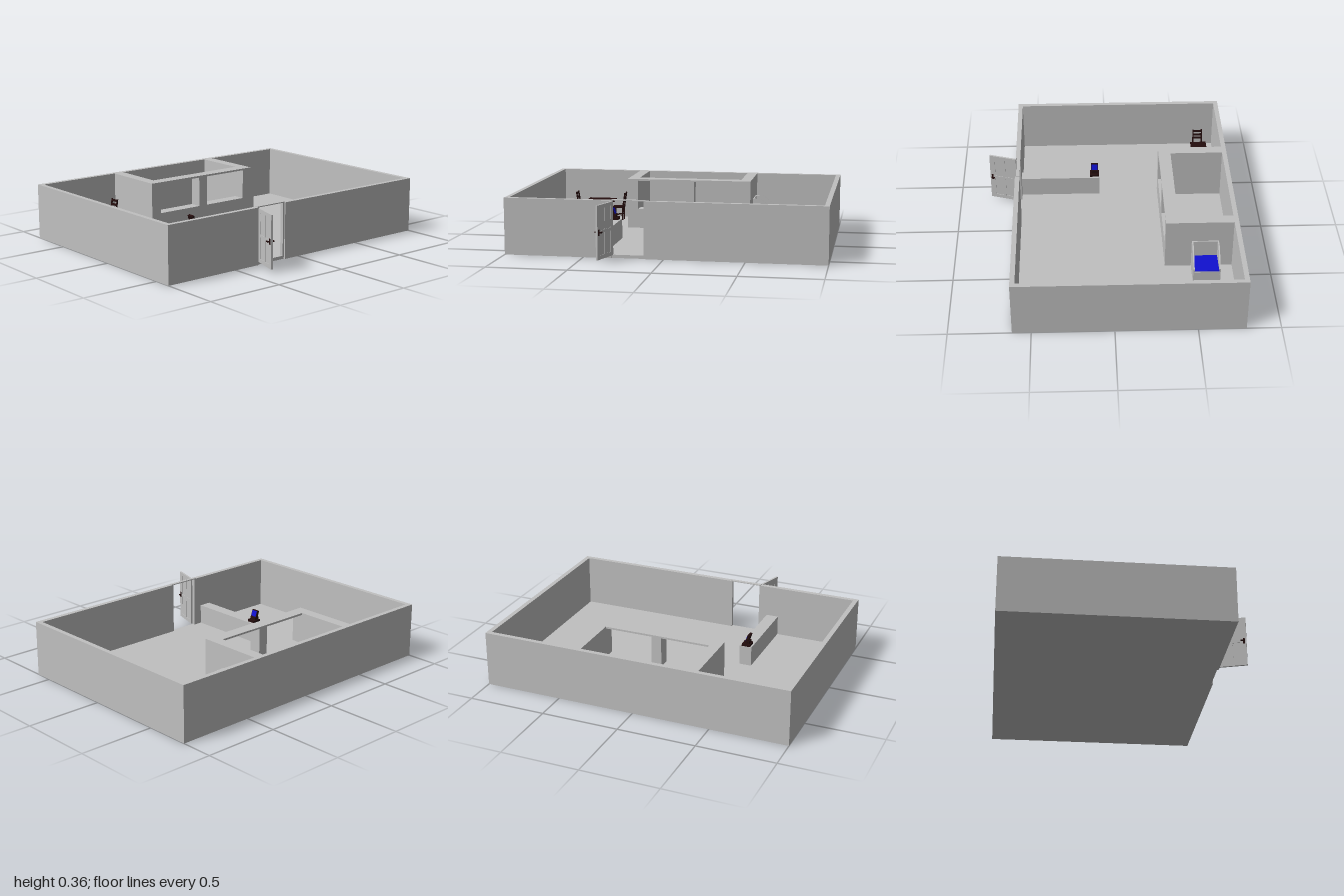
import * as THREE from 'three';

const mat = (name, color, side = THREE.FrontSide) => {
  const m = new THREE.MeshStandardMaterial({ color, side });
  m.name = name;
  return m;
};

export function createModel() {
  const grey = mat('plaster grey', 0xc0c0c0);
  const wood = mat('dark wood', 0x240d0d);
  const blue = mat('blue', 0x1010d0);
  const root = new THREE.Group();
  root.name = 'diningRoom';

  const group = (name, parent = root) => {
    const g = new THREE.Group();
    g.name = name;
    parent.add(g);
    return g;
  };
  // Box given by its two extremes on each axis
  const box = (parent, name, material, [x0, x1], [y0, y1], [z0, z1]) => {
    const mesh = new THREE.Mesh(new THREE.BoxGeometry(x1 - x0, y1 - y0, z1 - z0), material);
    mesh.position.set((x0 + x1) / 2, (y0 + y1) / 2, (z0 + z1) / 2);
    mesh.name = name;
    parent.add(mesh);
    return mesh;
  };
  const rect = (P, x0, x1, y0, y1) => {
    const p = new P();
    p.moveTo(x0, y0);
    p.lineTo(x1, y0);
    p.lineTo(x1, y1);
    p.lineTo(x0, y1);
    p.closePath();
    return p;
  };

  // Floor and outer walls
  const H = 0.357, F = 0.02, zB = -0.79, zF = 0.615;
  box(root, 'floor', grey, [-0.975, 0.975], [0, F], [zB + 0.01, 0.605]);
  box(root, 'backWall', grey, [-0.97, 1], [0, H], [zB, zB + 0.03]);
  box(root, 'leftWall', grey, [0.97, 1], [0, H], [zB + 0.03, zF - 0.03]);
  box(root, 'rightWall', grey, [-1, -0.97], [0, H], [zB, zF - 0.03]);
  box(root, 'frontWallRight', grey, [-1, -0.325], [0, H], [zF - 0.03, zF]);
  box(root, 'frontWallLeft', grey, [-0.11, 1], [0, H], [zF - 0.03, zF]);

  // Door frame in the opening
  const frame = group('doorFrame');
  box(frame, 'jamb', grey, [-0.325, -0.317], [F, 0.36], [0.585, 0.608]);
  box(frame, 'jamb', grey, [-0.122, -0.11], [F, 0.36], [0.585, 0.608]);
  box(frame, 'lintel', grey, [-0.325, -0.11], [0.355, 0.361], [0.585, 0.608]);

  // Open door with four recessed panels, built along +x and then swung outward
  const door = group('door');
  const leaf = rect(THREE.Shape, 0, 0.185, F, 0.352);
  for (const [x0, x1] of [[0.025, 0.078], [0.097, 0.15]]) {
    for (const [y0, y1] of [[0.045, 0.178], [0.195, 0.33]]) {
      leaf.holes.push(rect(THREE.Path, x0, x1, y0, y1));
      box(door, 'doorPanel', grey, [x0, x1], [y0, y1], [-0.003, 0.003]);
    }
  }
  const leafGeo = new THREE.ExtrudeGeometry(leaf, { depth: 0.012, bevelEnabled: false });
  leafGeo.translate(0, 0, -0.006);
  const leafMesh = new THREE.Mesh(leafGeo, grey);
  leafMesh.name = 'doorLeaf';
  door.add(leafMesh);
  for (const s of [-1, 1]) {
    const side = (a, b) => (s > 0 ? [a, b] : [-b, -a]);
    box(door, 'handlePlate', wood, [0.163, 0.175], [0.168, 0.205], side(0.006, 0.009));
    box(door, 'handleStem', wood, [0.166, 0.172], [0.184, 0.19], side(0.009, 0.019));
    box(door, 'handleLever', wood, [0.15, 0.173], [0.183, 0.191], side(0.017, 0.022));
  }
  door.position.set(-0.317, 0, 0.615);
  door.rotation.y = -Math.PI / 2 - 0.3;

  // Kitchen enclosure with two serving windows
  const kitchen = group('kitchen');
  for (const [x0, x1] of [[-0.42, -0.35], [0.35, 0.42]]) {
    box(kitchen, 'kitchenSideWall', grey, [x0, x1], [F, H], [-0.76, -0.335]);
  }
  box(kitchen, 'servingSill', grey, [-0.35, 0.35], [F, 0.15], [-0.415, -0.335]);
  box(kitchen, 'windowPost', grey, [-0.03, 0.036], [0.15, 0.345], [-0.415, -0.335]);
  box(kitchen, 'windowLintel', grey, [-0.35, 0.35], [0.345, H], [-0.415, -0.335]);

  // Counter by the entrance
  box(root, 'counter', grey, [-0.455, -0.375], [F, 0.15], [0.06, 0.585]);

  // Till on the counter, its screen leaning back
  const till = group('till');
  till.position.set(-0.416, 0.15, 0.092);
  box(till, 'tillBase', wood, [-0.028, 0.028], [0, 0.016], [-0.03, 0.03]);
  box(till, 'tillBody', wood, [-0.02, 0.012], [0.016, 0.035], [-0.022, 0.022]);
  const screen = group('tillScreen', till);
  screen.position.set(-0.002, 0.03, 0);
  screen.rotation.z = 0.3;
  box(screen, 'screenCase', wood, [-0.008, 0.008], [0, 0.05], [-0.024, 0.024]);
  box(screen, 'screenGlass', blue, [0.008, 0.01], [0.006, 0.045], [-0.02, 0.02]);

  // Display cabinet: sloped side panels around a blue tray
  const cabinet = group('displayCabinet');
  const profile = new THREE.Shape([[0.42, F], [0.59, F], [0.59, 0.125], [0.475, 0.215], [0.42, 0.215]]
    .map(([x, y]) => new THREE.Vector2(x, y)));
  for (const z of [-0.67, -0.508]) {
    const g = new THREE.ExtrudeGeometry(profile, { depth: 0.008, bevelEnabled: false });
    const m = new THREE.Mesh(g, grey);
    m.name = 'cabinetSide';
    m.position.z = z;
    cabinet.add(m);
  }
  box(cabinet, 'cabinetBack', grey, [0.42, 0.428], [F, 0.215], [-0.662, -0.508]);
  box(cabinet, 'cabinetBody', grey, [0.428, 0.588], [F, 0.1], [-0.662, -0.508]);
  box(cabinet, 'tray', blue, [0.428, 0.582], [0.1, 0.106], [-0.662, -0.508]);

  // Dining table on a pedestal
  const tx = -0.674, tz = -0.643;
  const table = group('table');
  table.position.set(tx, F, tz);
  box(table, 'tableTop', wood, [-0.097, 0.097], [0.132, 0.145], [-0.054, 0.054]);
  box(table, 'pedestal', wood, [-0.013, 0.013], [0.012, 0.132], [-0.013, 0.013]);
  box(table, 'tableFoot', wood, [-0.045, 0.045], [0, 0.012], [-0.03, 0.03]);

  // Two chairs facing each other across the table
  for (const s of [-1, 1]) {
    const chair = group('chair');
    chair.position.set(-0.678 + s * 0.128, F, tz - 0.001);
    chair.rotation.y = s > 0 ? Math.PI : 0;
    box(chair, 'seat', wood, [-0.036, 0.04], [0.088, 0.098], [-0.034, 0.034]);
    for (const z of [-0.03, 0.03]) {
      for (const x of [-0.03, 0.034]) {
        box(chair, 'chairLeg', wood, [x - 0.004, x + 0.004], [0, 0.088], [z - 0.004, z + 0.004]);
      }
      box(chair, 'chairRail', wood, [-0.03, 0.034], [0.035, 0.041], [z - 0.002, z + 0.002]);
    }
    const back = group('chairBack', chair);
    back.position.set(-0.032, 0.096, 0);
    back.rotation.z = 0.16;
    for (const z of [-0.03, 0.03]) {
      box(back, 'backPost', wood, [-0.004, 0.004], [0, 0.1], [z - 0.004, z + 0.004]);
    }
    for (const y of [0.03, 0.055, 0.082]) {
      box(back, 'backSlat', wood, [-0.003, 0.003], [y, y + 0.014], [-0.03, 0.03]);
    }
  }
  return root;
}
